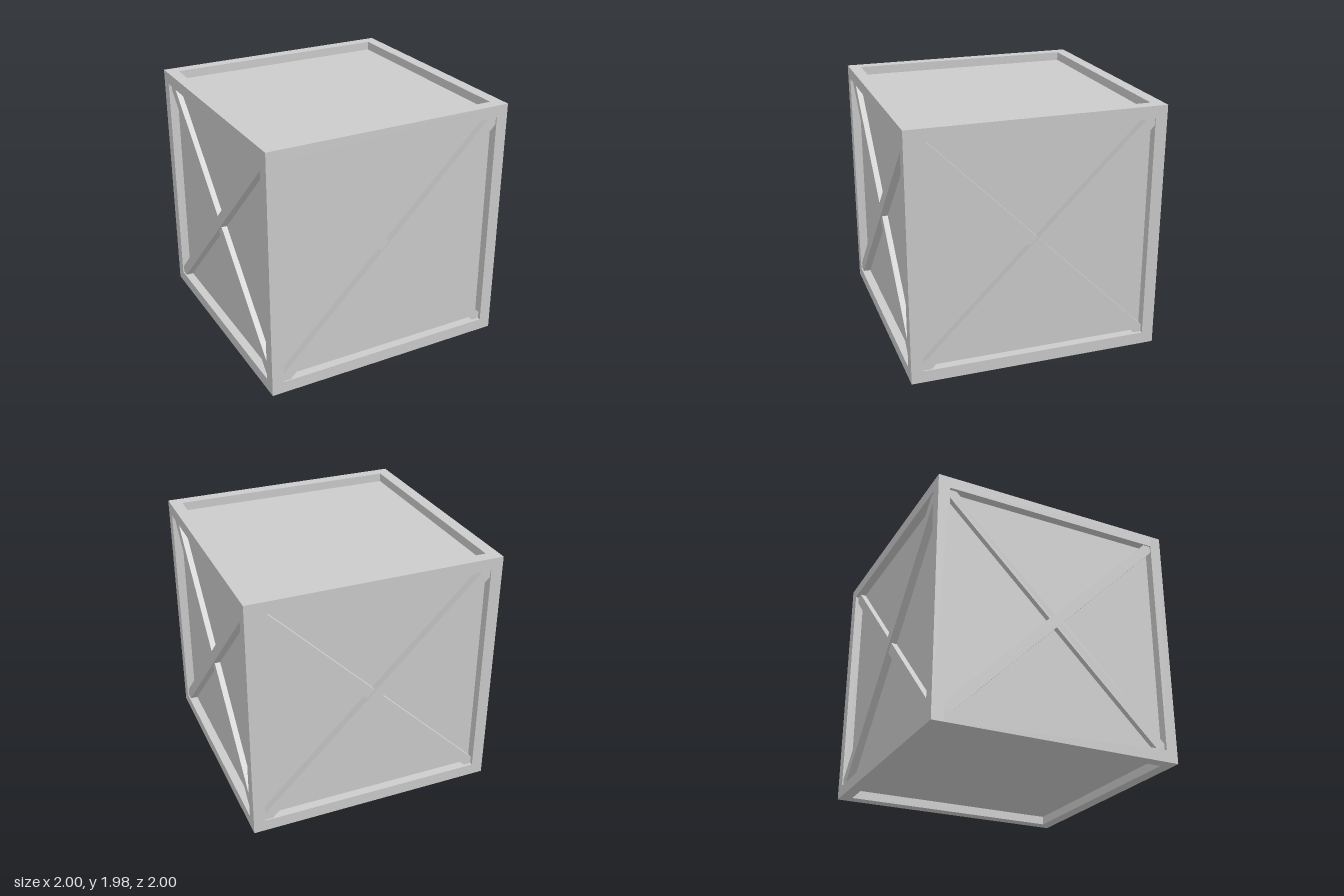
import * as THREE from 'three';

const W = 2, H = 1.98;     // crate width/depth and height
const B = 0.095;           // beam thickness
const RECESS = 0.07;       // how far the panels sit behind the frame
const NOTCH = 0.058;       // where a brace meets the frame, from the inner corner

export function createModel() {
  const crate = new THREE.Group();
  crate.name = 'crate';
  const grey = new THREE.MeshStandardMaterial({ color: 0xcccccc });
  grey.name = 'light grey';

  const add = (parent, name, geometry, x = 0, y = 0, z = 0) => {
    const mesh = new THREE.Mesh(geometry, grey);
    mesh.name = name;
    mesh.position.set(x, y, z);
    parent.add(mesh);
    return mesh;
  };

  // Recessed panels: one inner box
  add(crate, 'panels', new THREE.BoxGeometry(W - 2 * RECESS, H - 2 * RECESS, W - 2 * RECESS), 0, H / 2, 0);

  // Frame: four posts, with rails between them at top and bottom
  const edge = W / 2 - B / 2, inner = W - 2 * B;
  for (const a of [-1, 1]) {
    for (const b of [-1, 1]) {
      const y = H / 2 + b * (H / 2 - B / 2);
      add(crate, 'cornerPost', new THREE.BoxGeometry(B, H, B), a * edge, H / 2, b * edge);
      add(crate, 'sideRailX', new THREE.BoxGeometry(inner, B, B), 0, y, a * edge);
      add(crate, 'sideRailZ', new THREE.BoxGeometry(B, B, inner), a * edge, y, 0);
    }
  }

  // Diagonal brace, its ends cut to fit the frame corners
  const braceGeometry = (direction, depth) => {
    const x = W / 2 - B, y = H / 2 - B;
    const points = [
      [-x, -y], [-x + NOTCH + 0.005, -y], [x, y - NOTCH],
      [x, y], [x - NOTCH - 0.005, y], [-x, -y + NOTCH],
    ].map(([px, py]) => new THREE.Vector2(px * direction, py));
    return new THREE.ExtrudeGeometry(new THREE.Shape(points), { depth, bevelEnabled: false });
  };
  const upper = braceGeometry(1, 0.06), lower = braceGeometry(-1, 0.045);

  // A crossed pair of braces on each of the four sides
  for (let i = 0; i < 4; i++) {
    const side = new THREE.Group();
    side.name = 'crossBraces';
    side.position.y = H / 2;
    side.rotation.y = i * Math.PI / 2;
    add(side, 'upperBrace', upper, 0, 0, W / 2 - RECESS);
    add(side, 'lowerBrace', lower, 0, 0, W / 2 - RECESS);
    crate.add(side);
  }
  return crate;
}
